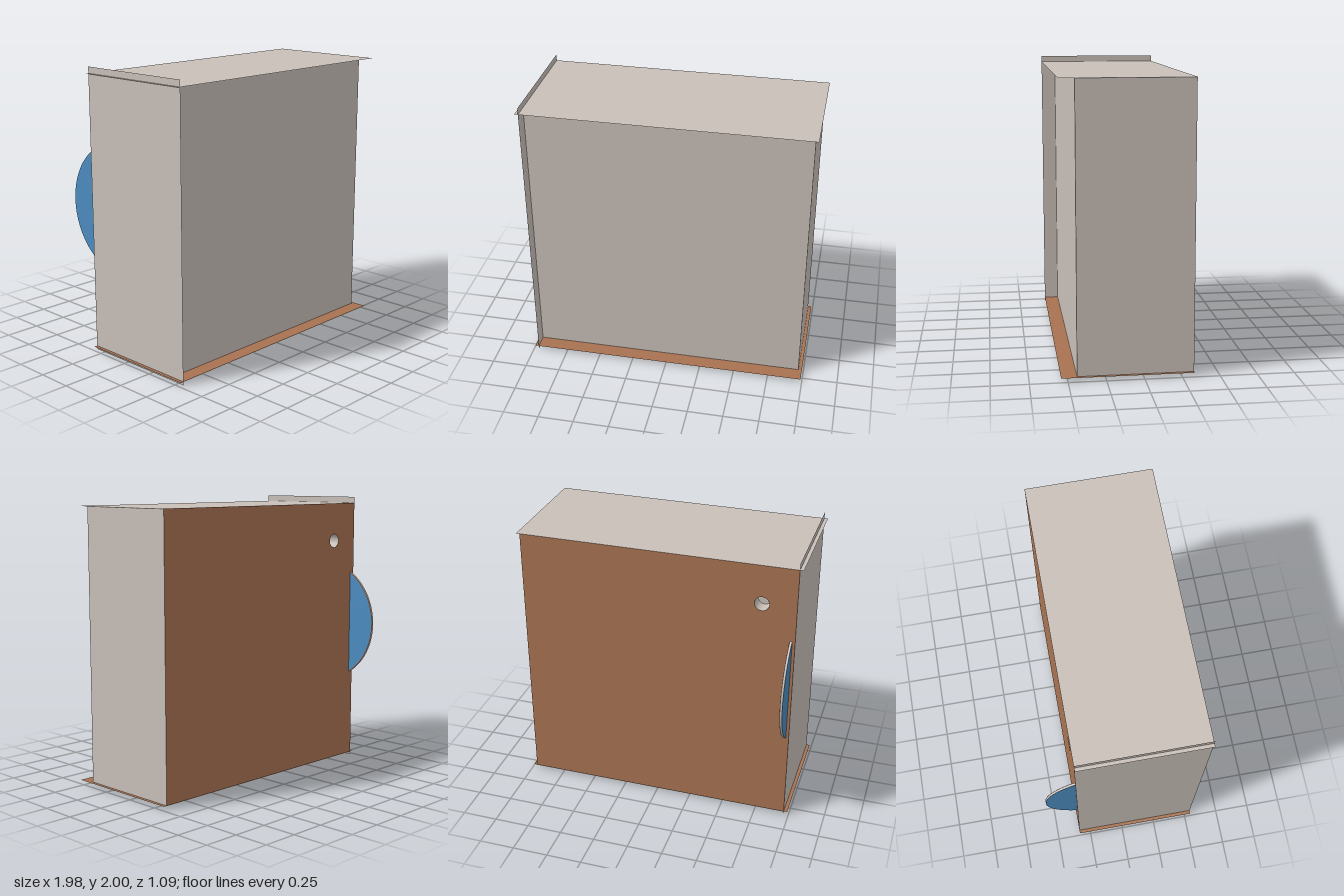
import * as THREE from 'three';

const mat = (name, color) => new THREE.MeshStandardMaterial({ name, color, side: THREE.DoubleSide });

export function createModel() {
  const group = new THREE.Group();
  const grey = mat('warmGrey', 0xc8bfb8);
  const brown = mat('brown', 0xa87352);
  const blue = mat('blue', 0x4b8cbf);

  const add = (name, geo, material, x, y, z) => {
    const m = new THREE.Mesh(geo, material);
    m.name = name;
    m.position.set(x, y, z);
    group.add(m);
    return m;
  };

  // Cabinet extents
  const W = 0.965, Y0 = 0.025, Y1 = 1.955, BACK = -0.332, FRONT = 0.44, LIP = 0.545;
  const H = Y1 - Y0, MID = (Y0 + Y1) / 2;
  const lipD = LIP - BACK, boxD = FRONT - BACK;
  const lipZ = (LIP + BACK) / 2, boxZ = (FRONT + BACK) / 2;

  // Sheet panels; top, bottom and right side overhang the box
  const flat = (w, d) => new THREE.PlaneGeometry(w, d).rotateX(-Math.PI / 2);
  const side = (d, h) => new THREE.PlaneGeometry(d, h).rotateY(Math.PI / 2);
  add('frontPanel', new THREE.PlaneGeometry(2 * W, H), grey, 0, MID, FRONT);
  add('leftPanel', side(boxD, H), grey, W, MID, boxZ);
  add('rightPanel', side(lipD, 2), grey, -W, 1, lipZ);
  add('topPanel', flat(1.98, lipD), grey, 0, Y1, lipZ);
  add('bottomPanel', flat(1.98, lipD), brown, 0, Y0, lipZ);
  add('underside', flat(2 * W, boxD), grey, 0, Y0 - 0.002, boxZ);

  // Back door with a round finger hole
  const hx = -0.73, hy = 1.68, hr = 0.05, depth = 0.1;
  const door = new THREE.Shape();
  door.moveTo(-W, Y0).lineTo(W, Y0).lineTo(W, Y1).lineTo(-W, Y1).closePath();
  door.holes.push(new THREE.Path().absarc(hx, hy, hr, 0, Math.PI * 2, true));
  add('backDoor', new THREE.ShapeGeometry(door, 24), brown, 0, 0, BACK);
  add('holeWall', new THREE.CylinderGeometry(hr, hr, depth, 32, 1, true).rotateX(Math.PI / 2),
    grey, hx, hy, BACK + depth / 2);
  add('holeFloor', new THREE.CircleGeometry(hr, 32), grey, hx, hy, BACK + depth);

  // Round handle plate, mostly sunk behind the door
  const R = 0.452, T = 0.016, px = -0.937, py = 1.05, pz = -0.093;
  add('handlePlate', new THREE.CylinderGeometry(R, R, T, 96).rotateZ(Math.PI / 2),
    [grey, blue, blue], px, py, pz);
  add('handleEdge', new THREE.RingGeometry(R - 0.006, R, 96).rotateY(Math.PI / 2),
    brown, px + T / 2 + 0.001, py, pz);

  return group;
}
